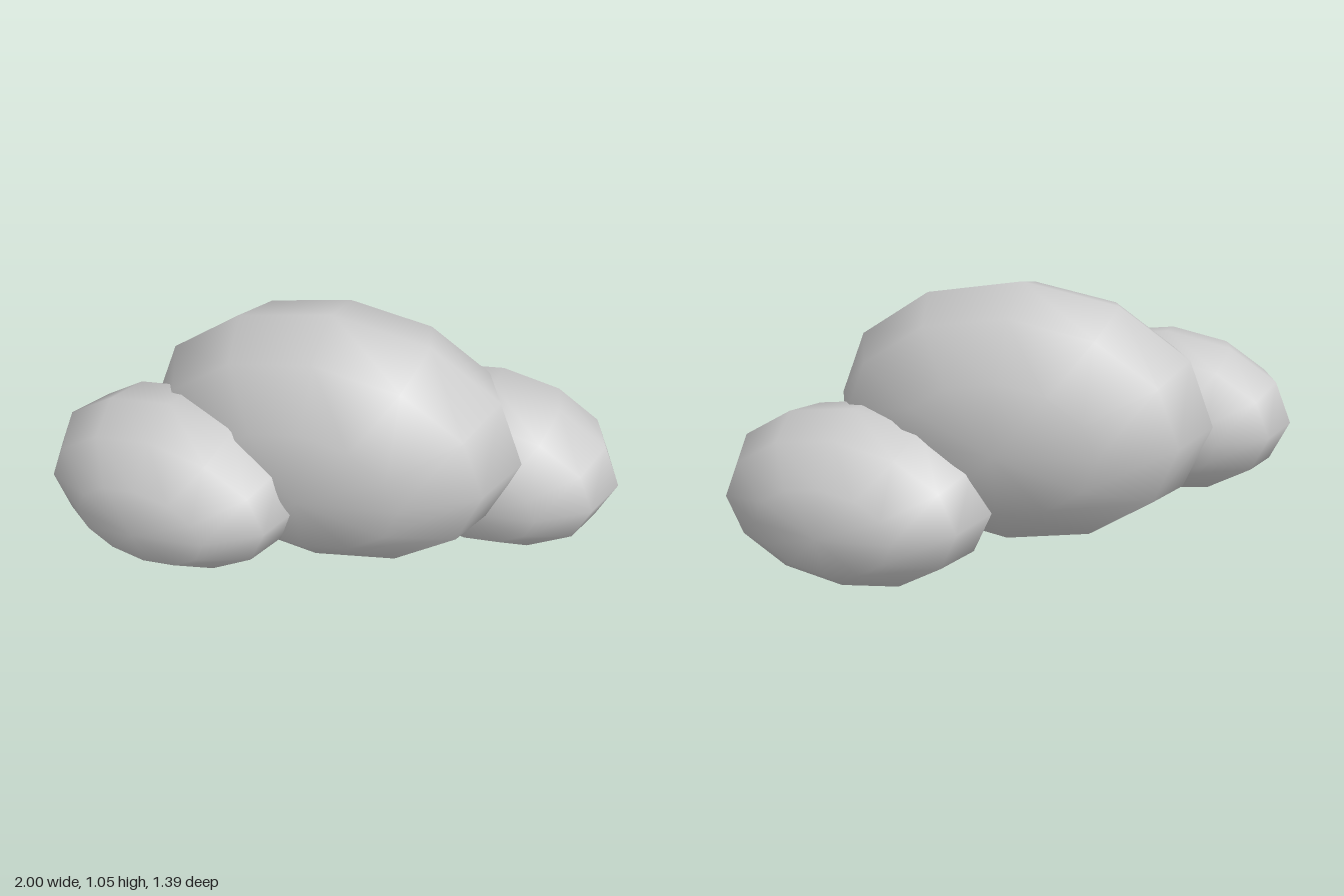
import * as THREE from 'three';

const material = new THREE.MeshStandardMaterial({ color: 0xcccccc });

// Low-poly ellipsoid with poles along z; side and pole are its slightly turned half-axes in xz
function puff(name, center, side, height, pole) {
  const geometry = new THREE.SphereGeometry(1, 12, 6).rotateX(Math.PI / 2);
  const matrix = new THREE.Matrix4().makeBasis(
    new THREE.Vector3(side[0], 0, side[1]),
    new THREE.Vector3(0, height, 0),
    new THREE.Vector3(pole[0], 0, pole[1])
  ).setPosition(...center);
  geometry.applyMatrix4(matrix);
  const mesh = new THREE.Mesh(geometry, material);
  mesh.name = name;
  return mesh;
}

export function createModel() {
  const cloud = new THREE.Group();
  cloud.name = 'cloud';
  cloud.add(
    // large body in the middle
    puff('middlePuff', [-0.037, 0.566, 0.013], [0.698, 0.005], 0.485, [0, 0.443]),
    // small lobe at the front right
    puff('frontPuff', [-0.52, 0.494, 0.34], [0.48, 0.05], 0.305, [-0.01, 0.354]),
    // medium lobe at the back left
    puff('backPuff', [0.487, 0.325, -0.32], [0.51, 0.05], 0.323, [-0.012, 0.377])
  );
  return cloud;
}
